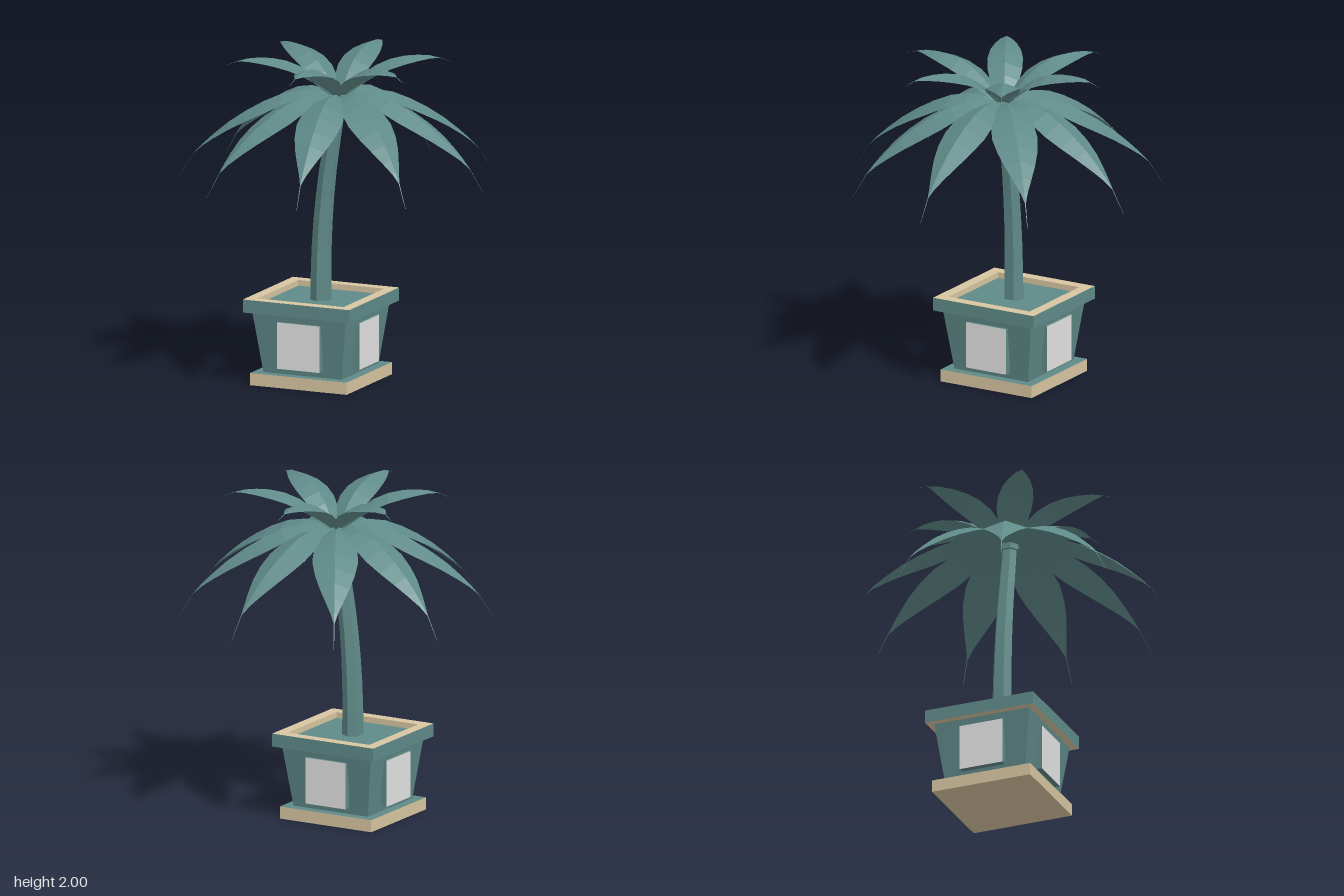
import * as THREE from 'three';

const material = (name, color, side = THREE.FrontSide) => {
  const m = new THREE.MeshStandardMaterial({ color, flatShading: true, side });
  m.name = name;
  return m;
};

export function createModel() {
  const teal = material('teal', 0x5f8a88, THREE.DoubleSide);
  const tan = material('tan', 0xd6c5a0);
  const grey = material('lightGrey', 0xe2e2e2);
  const model = new THREE.Group();
  model.name = 'pottedPalm';

  const add = (parent, name, geometry, mat) => {
    const mesh = new THREE.Mesh(geometry, mat);
    mesh.name = name;
    parent.add(mesh);
    return mesh;
  };

  // Square planter: a profile of [half width, y] turned in four steps
  const planter = new THREE.Group();
  planter.name = 'planter';
  planter.position.x = -0.145;
  model.add(planter);
  const band = (name, mat, ...profile) => add(planter, name, new THREE.LatheGeometry(
    profile.map(([h, y]) => new THREE.Vector2(h * Math.SQRT2, y)), 4, Math.PI / 4), mat);
  band('basePlinth', tan, [0, 0], [0.32, 0], [0.32, 0.075]);
  band('baseTop', teal, [0.32, 0.075], [0.26, 0.075]);
  band('potWall', teal, [0.26, 0.075], [0.31, 0.45]);
  band('rimUnderside', tan, [0.31, 0.45], [0.353, 0.45]);
  band('rimOuter', teal, [0.353, 0.45], [0.353, 0.53]);
  band('rimTop', tan, [0.353, 0.53], [0.285, 0.53], [0.285, 0.495]);
  band('soil', teal, [0.285, 0.495], [0, 0.495]);

  // One raised panel on each side of the planter
  for (let i = 0; i < 4; i++) {
    const side = new THREE.Group();
    side.name = 'panelSide';
    side.rotation.y = i * Math.PI / 2;
    planter.add(side);
    add(side, 'panel', new THREE.BoxGeometry(0.28, 0.285, 0.04),
      [teal, teal, teal, teal, grey, teal]).position.set(0, 0.26, 0.3);
  }

  // Six-sided trunk, bent along a curve and tapered
  const path = new THREE.SplineCurve([
    [-0.145, 0.49], [-0.143, 0.75], [-0.13, 1.0], [-0.105, 1.25],
    [-0.07, 1.48], [-0.03, 1.72]].map(p => new THREE.Vector2(...p)));
  const trunk = new THREE.CylinderGeometry(1, 1, 1, 6, 8, true);
  const pos = trunk.attributes.position;
  for (let i = 0; i < pos.count; i++) {
    const t = pos.getY(i) + 0.5;
    const c = path.getPoint(t);
    const r = 0.065 - 0.018 * t;
    pos.setXYZ(i, c.x + pos.getX(i) * r, c.y, pos.getZ(i) * r);
  }
  add(model, 'trunk', trunk, teal);

  // Crown of fronds around the trunk top
  const crown = new THREE.Group();
  crown.name = 'crown';
  crown.position.x = -0.03;
  model.add(crown);
  add(crown, 'crownHeart', new THREE.LatheGeometry(
    [[0, 1.71], [0.06, 1.72], [0.06, 1.755], [0, 1.785]].map(p => new THREE.Vector2(...p)), 6), teal);

  // Frond: ridge sections of [reach, height, half width], with edges hanging below the ridge
  const frondGeometry = (sections) => {
    const verts = [], index = [];
    sections.forEach(([r, y, w], i) => {
      verts.push(r, y - w * 0.38, -w, r, y, 0, r, y - w * 0.38, w);
      if (i === 0) return;
      const a = (i - 1) * 3, b = i * 3;
      for (const k of [0, 1]) {
        index.push(a + k, a + k + 1, b + k, a + k + 1, b + k + 1, b + k);
      }
    });
    const g = new THREE.BufferGeometry();
    g.setAttribute('position', new THREE.Float32BufferAttribute(verts, 3));
    g.setIndex(index);
    g.computeVertexNormals();
    return g;
  };
  const ring = (name, count, offset, geometry) => {
    for (let i = 0; i < count; i++) {
      add(crown, name, geometry, teal).rotation.y = offset + i * 2 * Math.PI / count;
    }
  };
  ring('lowerFrond', 9, 0, frondGeometry([
    [0.03, 1.76, 0.02], [0.12, 1.785, 0.06], [0.22, 1.788, 0.1], [0.34, 1.763, 0.13],
    [0.45, 1.715, 0.138], [0.56, 1.653, 0.12], [0.66, 1.585, 0.09], [0.75, 1.51, 0.053],
    [0.82, 1.445, 0.022], [0.87, 1.39, 0.003], [0.96, 1.25, 0.001]]));
  ring('upperFrond', 6, Math.PI / 6, frondGeometry([
    [0.02, 1.755, 0.02], [0.07, 1.81, 0.055], [0.14, 1.88, 0.087], [0.22, 1.938, 0.105],
    [0.31, 1.977, 0.107], [0.4, 1.996, 0.092], [0.48, 2.0, 0.066], [0.55, 1.995, 0.035],
    [0.61, 1.98, 0.003], [0.677, 1.955, 0.001]]));

  return model;
}
